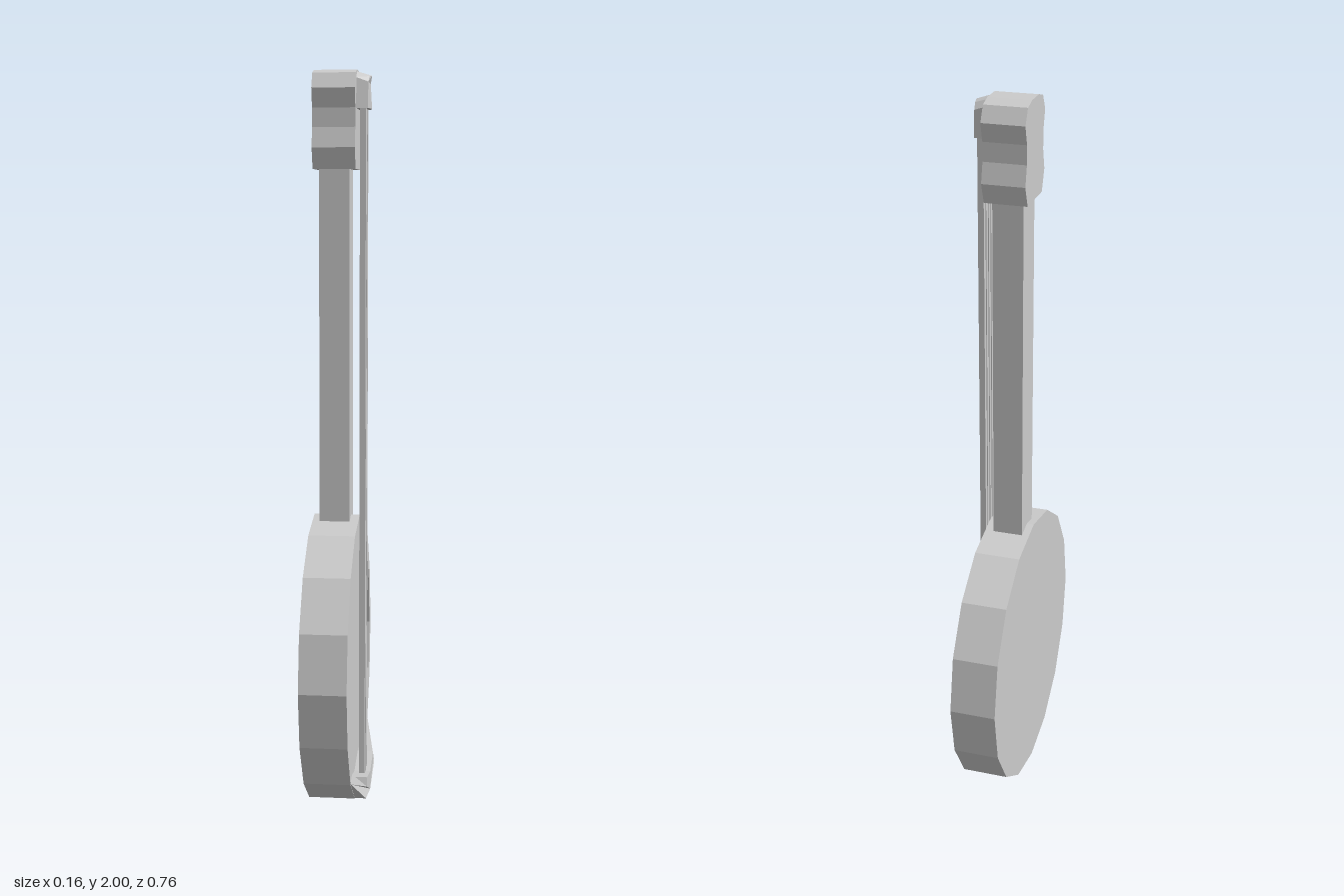
import * as THREE from 'three';

const mat = new THREE.MeshStandardMaterial({ color: 0xcccccc, flatShading: true });

// Symmetric outline in the z-y plane: half the points, mirrored to the other side.
function mirrored(half) {
  const other = half.filter(([z]) => z !== 0).reverse().map(([z, y]) => [-z, y]);
  return new THREE.Shape([...half, ...other].map(([z, y]) => new THREE.Vector2(z, y)));
}

// Extrude an outline along x from x0 to x1, optionally reshaping each vertex.
function slab(half, x0, x1, rule) {
  const geo = new THREE.ExtrudeGeometry(mirrored(half), { depth: x1 - x0, bevelEnabled: false });
  geo.rotateY(Math.PI / 2).translate(x0, 0, 0);
  if (rule) {
    const p = geo.attributes.position;
    const v = new THREE.Vector3();
    for (let i = 0; i < p.count; i++) {
      v.fromBufferAttribute(p, i);
      rule(v, v.x > (x0 + x1) / 2);
      p.setXYZ(i, v.x, v.y, v.z);
    }
    geo.computeVertexNormals();
  }
  return geo;
}

function box(x0, x1, y0, y1, z0, z1) {
  return new THREE.BoxGeometry(x1 - x0, y1 - y0, z1 - z0)
    .translate((x0 + x1) / 2, (y0 + y1) / 2, (z0 + z1) / 2);
}

export function createModel() {
  const model = new THREE.Group();
  const add = (name, geo) => {
    const mesh = new THREE.Mesh(geo, mat);
    mesh.name = name;
    model.add(mesh);
  };

  // Sixteen-sided drum with a raised rim around the sunken skin
  const profile = [[0, -0.08], [0.38, -0.08], [0.38, 0.046], [0.34, 0.046], [0.34, 0.032], [0, 0.032]];
  const drum = new THREE.LatheGeometry(profile.map(([r, h]) => new THREE.Vector2(r, h)), 16);
  drum.rotateZ(-Math.PI / 2).scale(1, 1.05, 1).translate(0, 0.402, 0);
  add('drumBody', drum);

  // Neck
  add('neck', box(-0.06, 0.022, 0.79, 1.76, -0.05, 0.05));

  // Waisted headstock
  add('headstock', slab([
    [0.066, 1.742], [0.088, 1.797], [0.075, 1.85], [0.075, 1.9],
    [0.09, 1.95], [0.068, 1.99], [0.03, 2],
  ], -0.075, 0.039));

  // String holder on the headstock, with a bowed and rounded front
  add('nut', slab([[0, 1.9], [0.053, 1.9], [0.046, 1.98], [0.028, 1.995], [0, 1.998]], 0.036, 0.077, (v, front) => {
    if (!front) return;
    v.x -= 0.007 * Math.min(1, Math.abs(v.z) / 0.045);
    if (v.y > 1.97) v.y -= 0.012;
    v.z *= 0.88;
  }));

  // Tailpiece along the lower rim, its wings sloping down to the rim
  add('tailpiece', slab([
    [0, 0.006], [0.145, 0.035], [0.268, 0.122], [0.225, 0.133],
    [0.112, 0.056], [0.104, 0.08], [0, 0.058],
  ], 0.032, 0.077, (v, front) => {
    if (front && Math.abs(v.z) > 0.2) v.x = 0.047;
  }));

  // Four strings
  for (let i = 0; i < 4; i++) {
    const z = (i - 1.5) * 0.021;
    add('string', box(0.048, 0.064, 0.055, 1.92, z - 0.007, z + 0.007));
  }

  return model;
}
